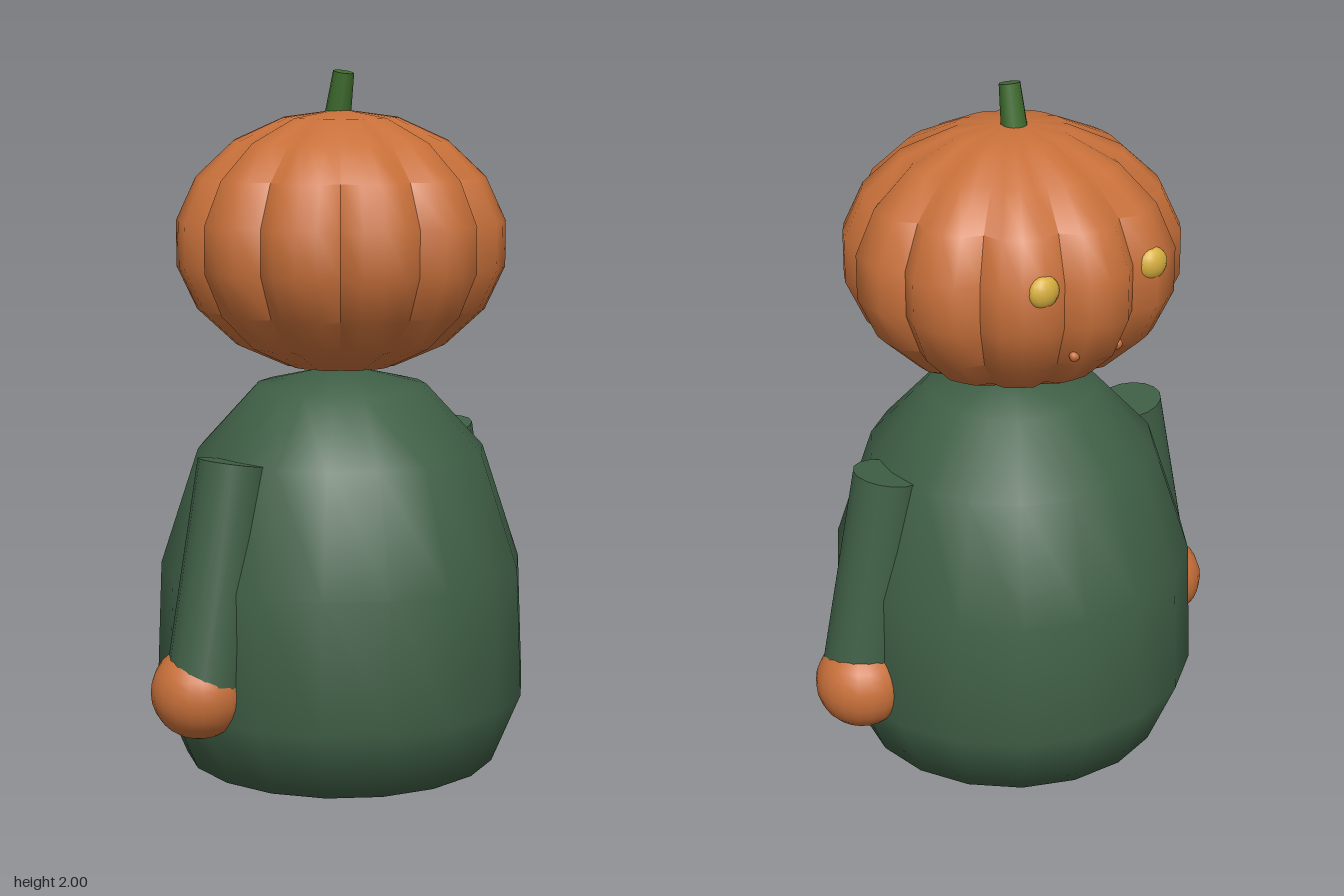
import * as THREE from 'three';
import { toCreasedNormals } from 'three/addons/utils/BufferGeometryUtils.js';

const paint = (name, color) => {
  const m = new THREE.MeshStandardMaterial({ color });
  m.name = name;
  return m;
};

export function createModel() {
  const pumpkinOrange = paint('pumpkin orange', 0xc8703a);
  const cloakGreen = paint('cloak green', 0x3f5f46);
  const stemGreen = paint('stem green', 0x3d6a2c);
  const eyeYellow = paint('eye yellow', 0xd8b040);
  const bootDark = paint('boot dark', 0x27332a);

  const model = new THREE.Group();
  model.name = 'pumpkinFigure';

  const add = (name, geometry, material, x = 0, y = 0, z = 0) => {
    const mesh = new THREE.Mesh(geometry, material);
    mesh.name = name;
    mesh.position.set(x, y, z);
    model.add(mesh);
    return mesh;
  };
  const ellipsoid = (rx, ry, rz, w = 14, h = 10) =>
    new THREE.SphereGeometry(1, w, h).scale(rx, ry, rz);

  // Bell-shaped cloak, 18 sides, closed underneath
  const profile = [
    [0, 0.03], [0.45, 0.03], [0.533, 0.23], [0.518, 0.6],
    [0.41, 0.93], [0.245, 1.11], [0.08, 1.15], [0, 1.155],
  ].map(([r, y]) => new THREE.Vector2(r, y));
  add('cloak', new THREE.LatheGeometry(profile, 18, Math.PI / 18), cloakGreen);

  // Pumpkin head: squashed sphere with twelve ribs and sharp grooves
  const columns = 48;
  const ribs = [1, 1, 0.915, 1];
  const head = new THREE.SphereGeometry(1, columns, 9);
  const p = head.attributes.position;
  for (let i = 0; i < p.count; i++) {
    const r = 0.472 * ribs[(i % (columns + 1)) % 4];
    p.setXYZ(i, p.getX(i) * r, p.getY(i) * 0.37, p.getZ(i) * r);
  }
  add('head', toCreasedNormals(head, 0.95), pumpkinOrange, 0, 1.52, 0);

  // Leaning stem
  const stem = add('stem', new THREE.CylinderGeometry(0.03, 0.042, 0.2, 10), stemGreen, 0, 1.895, -0.008);
  stem.rotation.x = 0.19;

  for (const [side, s] of [['left', 1], ['right', -1]]) {
    // Sleeve hanging outward, with the hand at its cuff
    const sleeve = add(side + 'Sleeve', new THREE.CylinderGeometry(0.098, 0.11, 0.62, 16), cloakGreen, s * 0.472, 0.635, 0);
    sleeve.rotation.z = s * 0.18;
    add(side + 'Hand', ellipsoid(0.134, 0.132, 0.134, 20, 14), pumpkinOrange, s * 0.531, 0.31, -0.02);

    // Foot barely showing below the cloak
    add(side + 'Foot', ellipsoid(0.135, 0.07, 0.19, 18, 12), bootDark, s * 0.2, 0.07, -0.1);

    // Eye and mouth corner just breaking the pumpkin's skin
    add(side + 'Eye', ellipsoid(0.046, 0.046, 0.03), eyeYellow, s * 0.175, 1.575, -0.407);
    add(side + 'MouthCorner', ellipsoid(0.016, 0.016, 0.014, 8, 6), pumpkinOrange, s * 0.07, 1.365, -0.402);
  }

  return model;
}
